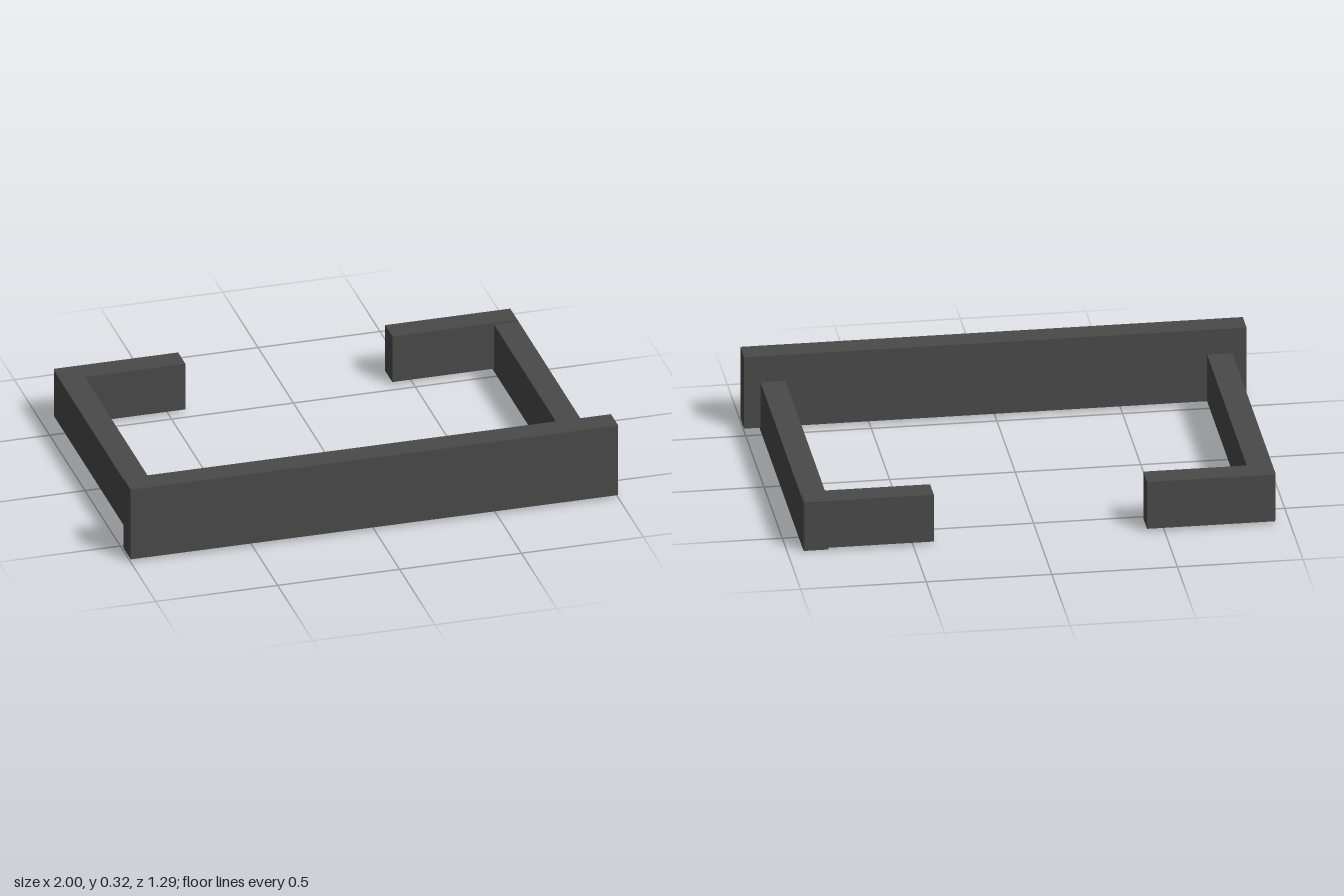
import * as THREE from 'three';

export function createModel() {
  const group = new THREE.Group();
  const charcoal = new THREE.MeshStandardMaterial({ color: 0x4a4a4a });
  charcoal.name = 'charcoal';

  // Box given by its extents along each axis
  function bar(name, [x0, x1], [y0, y1], [z0, z1]) {
    const mesh = new THREE.Mesh(new THREE.BoxGeometry(x1 - x0, y1 - y0, z1 - z0), charcoal);
    mesh.position.set((x0 + x1) / 2, (y0 + y1) / 2, (z0 + z1) / 2);
    mesh.name = name;
    group.add(mesh);
  }

  // Tall front panel
  bar('frontPanel', [-1, 1], [0.012, 0.32], [0.543, 0.645]);

  // Side arms running back from the panel
  bar('leftArm', [0.835, 0.935], [0, 0.208], [-0.635, 0.557]);
  bar('rightArm', [-0.944, -0.843], [0.012, 0.213], [-0.635, 0.557]);

  // Short returns at the back, with an open gap between them
  bar('leftReturn', [0.418, 0.931], [0.012, 0.214], [-0.645, -0.543]);
  bar('rightReturn', [-0.941, -0.431], [0.012, 0.214], [-0.645, -0.543]);

  return group;
}
